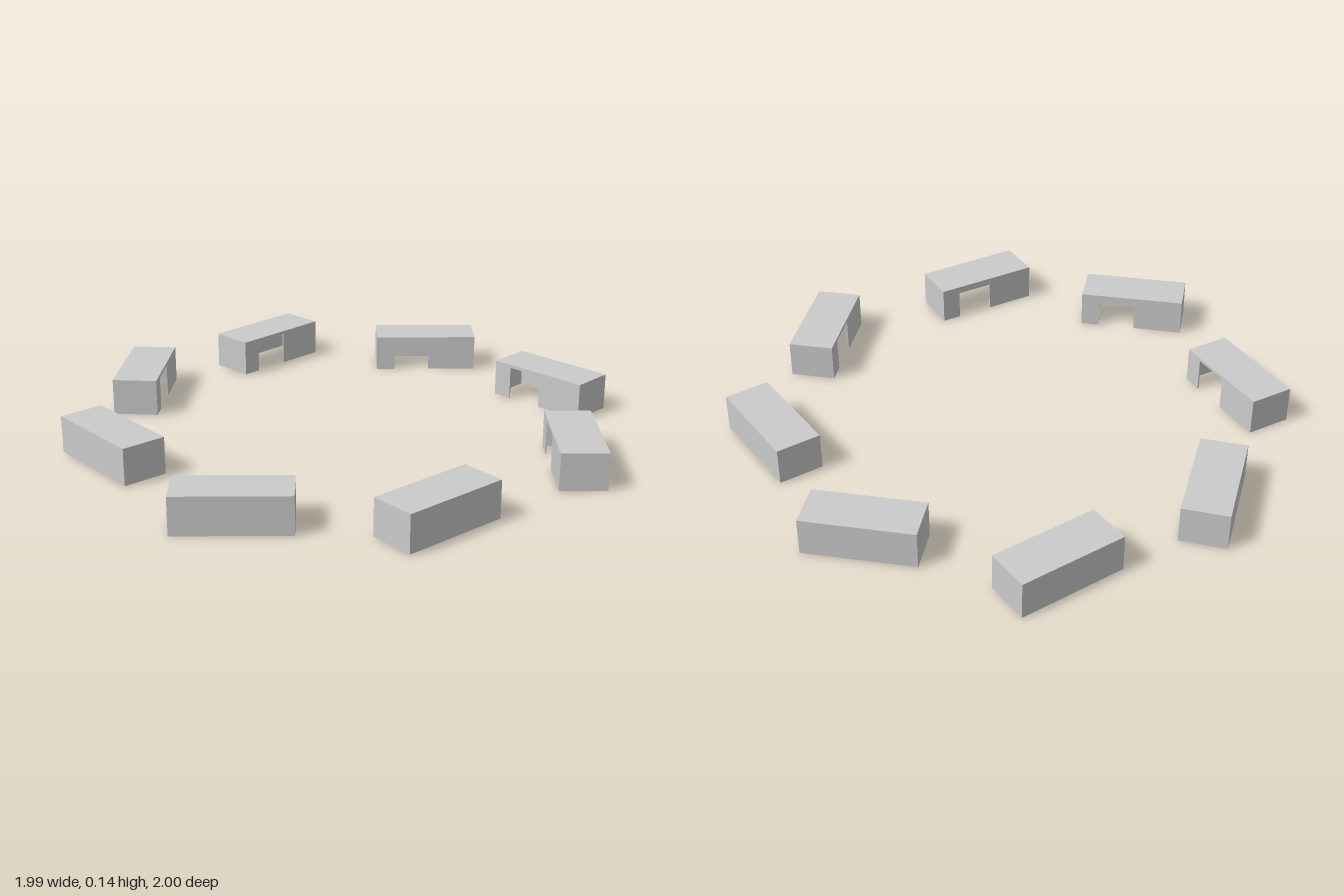
import * as THREE from 'three';

const L = 0.396, D = 0.165, H = 0.135, T = 0.005; // desk length, depth, height, panel thickness
const material = new THREE.MeshStandardMaterial({ color: 0xcccccc, flatShading: true });

function addPanel(desk, name, w, h, d, x, y, z) {
  const mesh = new THREE.Mesh(new THREE.BoxGeometry(w, h, d), material);
  mesh.name = name;
  mesh.position.set(x, y, z);
  desk.add(mesh);
}

// Hollow desk: long axis x, seat side +z, open underneath
function createDesk() {
  const desk = new THREE.Group();
  const wallH = H - T;
  addPanel(desk, 'deskTop', L, T, D, 0, H - T / 2, 0);
  addPanel(desk, 'modestyPanel', L, wallH, T, 0, wallH / 2, -D / 2 + T / 2);
  for (const side of [-1, 1]) {
    addPanel(desk, side < 0 ? 'rightEndPanel' : 'leftEndPanel',
      T, wallH, D - 2 * T, side * (L - T) / 2, wallH / 2, 0);
  }

  // Seat-side panel with an off-centre knee opening
  const k0 = -L / 2 + 0.18 * L, k1 = -L / 2 + 0.53 * L, kneeH = 0.123;
  const shape = new THREE.Shape([
    [-L / 2, 0], [k0, 0], [k0, kneeH], [k1, kneeH], [k1, 0],
    [L / 2, 0], [L / 2, wallH], [-L / 2, wallH],
  ].map(([x, y]) => new THREE.Vector2(x, y)));
  const front = new THREE.Mesh(
    new THREE.ExtrudeGeometry(shape, { depth: T, bevelEnabled: false }), material);
  front.name = 'kneeholePanel';
  front.position.z = D / 2 - T;
  desk.add(front);
  return desk;
}

export function createModel() {
  const model = new THREE.Group();
  model.name = 'deskRing';
  // x, z and turn in degrees; every seat side faces the middle
  const places = [
    [0.377, -0.8, 0], [0.797, -0.303, -45], [0.794, 0.34, -90], [0.328, 0.8, -135],
    [-0.362, 0.776, -185], [-0.8, 0.3, -225], [-0.755, -0.372, -275], [-0.26, -0.81, -320],
  ];
  places.forEach(([x, z, turn], i) => {
    const desk = createDesk();
    desk.name = `desk${i + 1}`;
    desk.position.set(x, 0, z);
    desk.rotation.y = THREE.MathUtils.degToRad(turn);
    model.add(desk);
  });
  return model;
}
